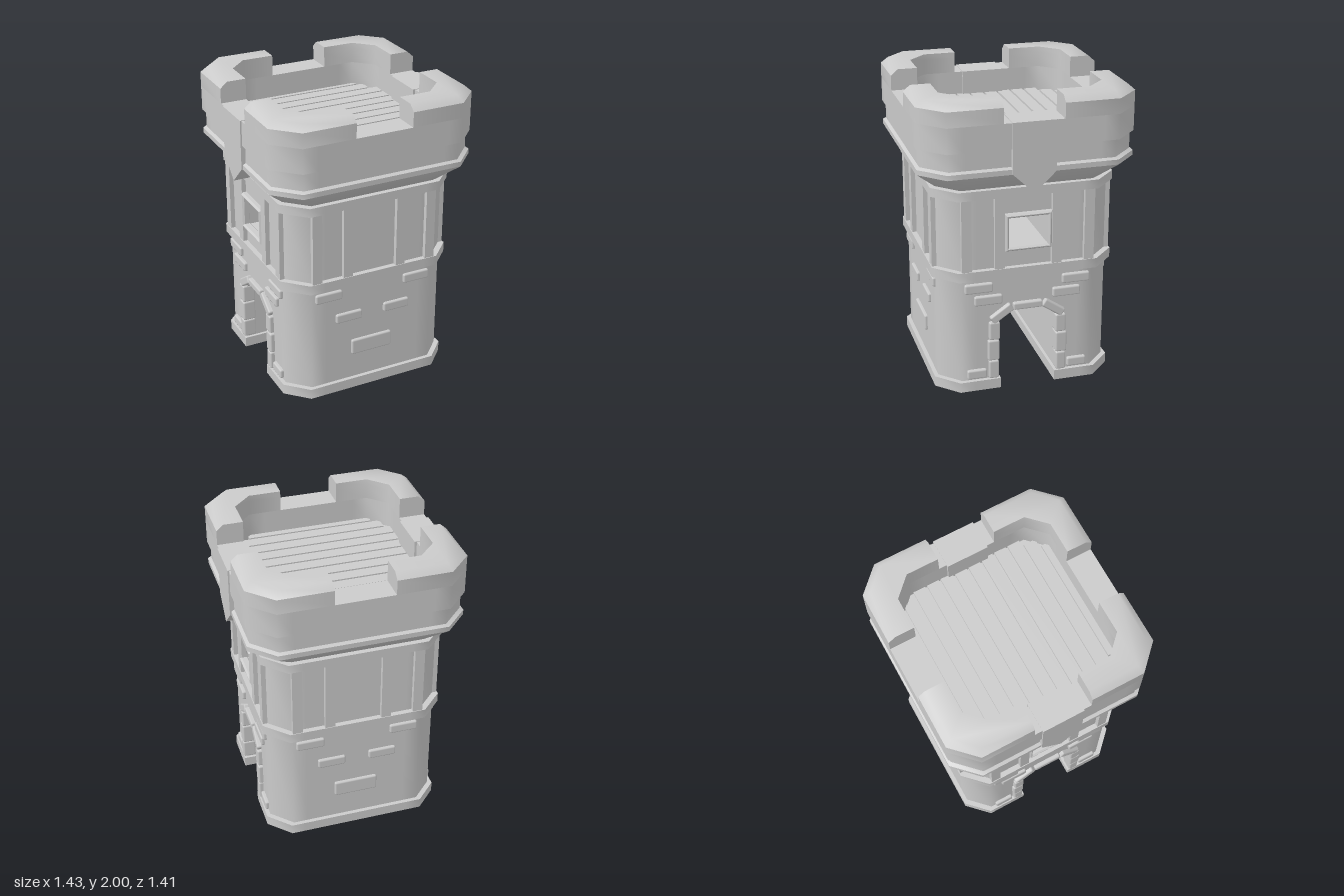
import * as THREE from 'three';
import { toCreasedNormals } from 'three/addons/utils/BufferGeometryUtils.js';
import { RoundedBoxGeometry } from 'three/addons/geometries/RoundedBoxGeometry.js';

const CREASE = 0.8; // softens the 45 degree corners only
const mat = new THREE.MeshStandardMaterial({ color: 0xcccccc });

function add(parent, name, geo) {
  const mesh = new THREE.Mesh(geo, mat);
  mesh.name = name;
  parent.add(mesh);
  return mesh;
}

function box(parent, name, w, h, d, x, y, z) {
  const mesh = add(parent, name, new THREE.BoxGeometry(w, h, d));
  mesh.position.set(x, y, z);
  return mesh;
}

// Square plan with cut corners: half width h, corners start at a
function octagon(h, a) {
  const pts = [];
  const m = a - 0.1;
  for (let k = 0; k < 4; k++) {
    const c = Math.round(Math.cos(k * Math.PI / 2)), s = Math.round(Math.sin(k * Math.PI / 2));
    for (const v of [-a, -m, m, a]) pts.push([h * c - v * s, h * s + v * c]);
  }
  return pts;
}

// Skin over stacked plans [points, y], capped at both ends
function loft(rings) {
  const pos = [];
  const n = rings[0][0].length;
  const put = (r, i) => {
    const [p, y] = rings[r];
    pos.push(p[i % n][0], y, p[i % n][1]);
  };
  for (let r = 0; r < rings.length - 1; r++) {
    for (let i = 0; i < n; i++) {
      put(r, i); put(r + 1, i); put(r + 1, i + 1);
      put(r, i); put(r + 1, i + 1); put(r, i + 1);
    }
  }
  const last = rings.length - 1;
  for (const r of [0, last]) {
    const flat = rings[r][0].map(([x, z]) => new THREE.Vector2(x, z));
    for (const [a, b, c] of THREE.ShapeUtils.triangulateShape(flat, [])) {
      put(r, a); put(r, r ? c : b); put(r, r ? b : c);
    }
  }
  const geo = new THREE.BufferGeometry();
  geo.setAttribute('position', new THREE.Float32BufferAttribute(pos, 3));
  geo.computeVertexNormals();
  return toCreasedNormals(geo, CREASE);
}

const shapeOf = (pts) => new THREE.Shape(pts.map(([x, y]) => new THREE.Vector2(x, y)));

// Half of an octagonal plan beyond the passage (|z| > w), optionally a hollow wall of thickness t
function halfPlan(h, a, w) {
  const right = [[h, w], [h, a - 0.1], [h, a], [a, h], [a - 0.1, h]];
  return [...right, ...right.map(([x, y]) => [-x, y]).reverse()];
}
function halves(parent, name, h, a, w, y0, y1, t = 0) {
  const shape = shapeOf(halfPlan(h, a, w));
  if (t) shape.holes.push(shapeOf(halfPlan(h - t, a - t * 0.41, w + t)));
  const geo = new THREE.ExtrudeGeometry(shape, { depth: y1 - y0, bevelEnabled: false });
  geo.rotateX(-Math.PI / 2).translate(0, y0, 0);
  const smooth = toCreasedNormals(geo, CREASE);
  add(parent, name + 'Back', smooth);
  add(parent, name + 'Front', smooth).rotation.y = Math.PI;
}

// Chamfered stone on a wall whose outside is local +z
function stone(parent, name, u, y, w, h, out, depth = 0.06, roll = 0) {
  const mesh = add(parent, name, new RoundedBoxGeometry(w, h, depth, 1, 0.012));
  mesh.position.set(u, y, out - depth / 2);
  mesh.rotation.z = roll;
}

// Group whose local +z faces side k (0 front, 1 left, 2 back, 3 right)
function side(parent, name, k) {
  const g = new THREE.Group();
  g.name = name;
  g.rotation.y = k * Math.PI / 2;
  parent.add(g);
  return g;
}

export function createModel() {
  const tower = new THREE.Group();
  tower.name = 'tower';

  // Lower storey: two hollow halves with an arched passage between
  halves(tower, 'plinth', 0.6, 0.46, 0.185, 0, 0.07, 0.05);
  halves(tower, 'lowerWall', 0.573, 0.44, 0.205, 0.04, 0.8, 0.03);
  const arch = shapeOf([[-0.205, 0.47], [-0.1, 0.565], [0.1, 0.565], [0.205, 0.47], [0.205, 0.8], [-0.205, 0.8]]);
  const archGeo = new THREE.ExtrudeGeometry(arch, { depth: 1.146, bevelEnabled: false });
  add(tower, 'archVault', archGeo.translate(0, 0, -0.573).rotateY(Math.PI / 2));

  // Upper storey: walls with a window running through
  add(tower, 'middleBand', loft([[octagon(0.605, 0.46), 0.795], [octagon(0.605, 0.46), 0.86]]));
  halves(tower, 'upperWall', 0.57, 0.44, 0.132, 0.85, 1.35);
  box(tower, 'wallBelowWindow', 1.14, 0.145, 0.264, 0, 0.922, 0);
  box(tower, 'wallAboveWindow', 1.14, 0.145, 0.264, 0, 1.278, 0);
  add(tower, 'upperBand', loft([[octagon(0.605, 0.46), 1.345], [octagon(0.605, 0.46), 1.405]]));

  for (let k = 0; k < 4; k++) {
    // Timber posts on each side
    const posts = side(tower, 'posts', k);
    for (const u of [-0.408, -0.19, 0.19, 0.408]) box(posts, 'post', 0.066, 0.5, 0.06, u, 1.1, 0.57);

    if (k % 2 === 0) {
      // Raised bricks on front and back
      const bricks = side(tower, 'wallBricks', k);
      for (const s of [-1, 1]) {
        stone(bricks, 'brick', s * 0.32, 0.733, 0.19, 0.066, 0.593);
        stone(bricks, 'brick', s * 0.175, 0.552, 0.188, 0.066, 0.593);
      }
      stone(bricks, 'wideBrick', -0.007, 0.307, 0.295, 0.11, 0.593);
    } else {
      // Gate side: bricks, arch stones and window frame
      const gate = side(tower, 'gateSide', k);
      for (const s of [-1, 1]) {
        stone(gate, 'brick', s * 0.327, 0.733, 0.188, 0.066, 0.597);
        stone(gate, 'brick', s * 0.264, 0.643, 0.188, 0.066, 0.597);
        stone(gate, 'brick', s * 0.343, 0.115, 0.132, 0.064, 0.597);
        stone(gate, 'archStone', s * 0.23, 0.14, 0.068, 0.13, 0.603, 0.09);
        stone(gate, 'archStone', s * 0.231, 0.28, 0.078, 0.146, 0.603, 0.09);
        stone(gate, 'archStone', s * 0.225, 0.42, 0.072, 0.128, 0.603, 0.09);
        stone(gate, 'archStone', s * 0.175, 0.538, 0.165, 0.058, 0.603, 0.09, -s * 0.6);
      }
      stone(gate, 'keyStone', 0, 0.579, 0.2, 0.05, 0.603, 0.09);

      const frame = shapeOf([[-0.145, 0.985], [0.145, 0.985], [0.145, 1.215], [-0.145, 1.215]]);
      frame.holes.push(shapeOf([[-0.14, 0.99], [0.14, 0.99], [0.14, 1.21], [-0.14, 1.21]]));
      const frameGeo = new THREE.ExtrudeGeometry(frame, {
        depth: 0.035, bevelSize: 0.01, bevelThickness: 0.012, bevelSegments: 1,
      });
      add(gate, 'windowFrame', frameGeo.translate(0, 0, 0.561));

      // Pointed shield block through the parapet
      const shield = shapeOf([[0, 1.4], [0.142, 1.535], [0.142, 1.864], [-0.142, 1.864], [-0.142, 1.535]]);
      const shieldGeo = new THREE.ExtrudeGeometry(shield, { depth: 0.2, bevelEnabled: false });
      add(gate, 'shieldBlock', shieldGeo.translate(0, 0, 0.515));
    }
  }

  // Flared parapet, hollow down to the deck
  const outline = [
    [0.565, 0.43, 1.4], [0.705, 0.55, 1.53], [0.705, 0.55, 1.563], [0.685, 0.535, 1.575],
    [0.685, 0.535, 1.69], [0.705, 0.55, 1.695], [0.705, 0.55, 1.86], [0.53, 0.41, 1.86], [0.53, 0.41, 1.685],
  ];
  add(tower, 'parapet', loft(outline.map(([h, a, y]) => [octagon(h, a), y])));

  // Corner merlons with a bevelled outer edge
  const merlonPlan = (h, a) => [[h, 0.195], [h, a], [a, h], [0.195, h],
    [0.195, 0.53], [0.41, 0.53], [0.53, 0.41], [0.53, 0.195]];
  const merlonGeo = loft([[merlonPlan(0.705, 0.55), 1.86], [merlonPlan(0.705, 0.55), 1.96],
    [merlonPlan(0.66, 0.53), 2]]);
  for (let k = 0; k < 4; k++) add(tower, 'merlon', merlonGeo).rotation.y = k * Math.PI / 2;

  // Deck planks, shortened to follow the cut corners
  for (let k = -6; k <= 5; k++) {
    const z0 = Math.max(-0.53, k * 0.097), z1 = Math.min(0.53, k * 0.097 + 0.083);
    const far = Math.max(Math.abs(z0), Math.abs(z1));
    const half = Math.min(0.53, 0.96 - far);
    box(tower, 'plank', half * 2, 0.03, z1 - z0, 0, 1.69, (z0 + z1) / 2);
  }
  return tower;
}
